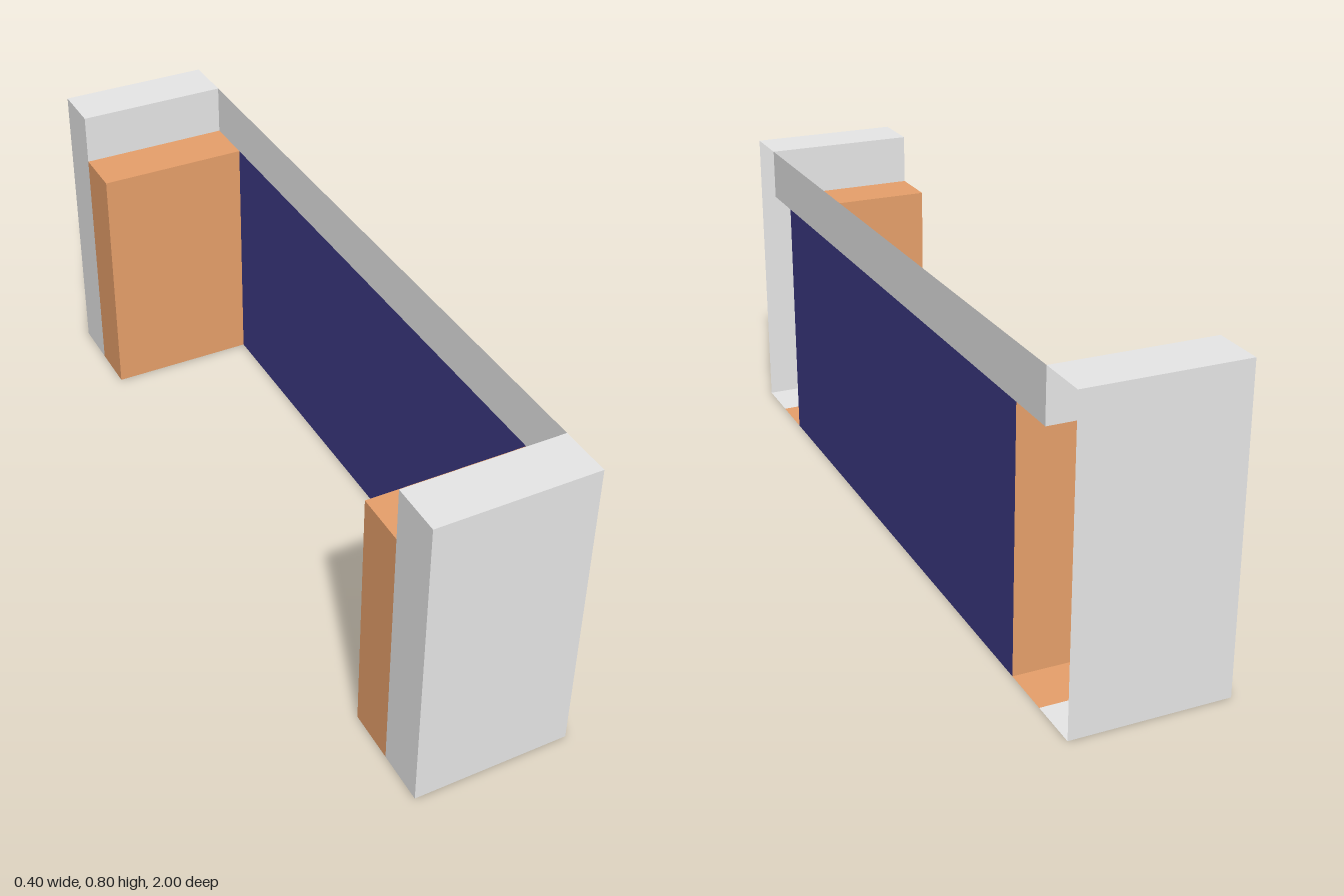
import * as THREE from 'three';

export function createModel() {
  const mat = (name, color) => {
    const m = new THREE.MeshStandardMaterial({ color, side: THREE.DoubleSide });
    m.name = name;
    return m;
  };
  const white = mat('white', 0xffffff);
  const orange = mat('orange', 0xffb176);
  const blue = mat('blue', 0x3c3a84);

  // Key dimensions: half width, heights, and half lengths of the steps
  const W = 0.2, TOP = 0.8, STEP = 0.667, OUT = 1, MID = 0.867, IN = 0.733;

  const model = new THREE.Group();
  model.name = 'openFrame';

  // Thin sheets facing along x, y or z
  const sheet = (parent, name, material, w, h, pos, rot) => {
    const mesh = new THREE.Mesh(new THREE.PlaneGeometry(w, h), material);
    mesh.name = name;
    mesh.position.set(...pos);
    mesh.rotation.set(...rot);
    parent.add(mesh);
  };
  const sheetX = (p, name, m, x, y0, y1, z0, z1, dir) =>
    sheet(p, name, m, Math.abs(z1 - z0), y1 - y0, [x, (y0 + y1) / 2, (z0 + z1) / 2], [0, dir * Math.PI / 2, 0]);
  const sheetY = (p, name, m, y, z0, z1, dir) =>
    sheet(p, name, m, 2 * W, Math.abs(z1 - z0), [0, y, (z0 + z1) / 2], [-dir * Math.PI / 2, 0, 0]);
  const sheetZ = (p, name, m, z, y0, y1, dir) =>
    sheet(p, name, m, 2 * W, y1 - y0, [0, (y0 + y1) / 2, z], [0, dir > 0 ? 0 : Math.PI, 0]);

  // Two mirrored stepped end posts, hollow and open towards +x
  for (const s of [1, -1]) {
    const post = new THREE.Group();
    post.name = s > 0 ? 'frontPost' : 'backPost';

    // Tall white outer part
    sheetZ(post, 'outerFace', white, s * OUT, 0, TOP, s);
    sheetZ(post, 'upperInnerFace', white, s * MID, STEP, TOP, -s);
    sheetY(post, 'outerTop', white, TOP, s * MID, s * OUT, 1);
    sheetY(post, 'outerBottom', white, 0, s * MID, s * OUT, -1);
    sheetX(post, 'outerSide', white, -W, 0, TOP, s * MID, s * OUT, -1);

    // Lower orange inner part
    sheetZ(post, 'innerFace', orange, s * IN, 0, STEP, -s);
    sheetY(post, 'innerTop', orange, STEP, s * IN, s * MID, 1);
    sheetY(post, 'innerBottom', orange, 0, s * IN, s * MID, -1);
    sheetX(post, 'innerSide', orange, -W, 0, STEP, s * IN, s * MID, -1);
    model.add(post);
  }

  // Panel and rail joining the posts
  sheetX(model, 'panel', blue, W, 0, STEP, -IN, IN, 1);
  sheetX(model, 'topRail', white, W, STEP, TOP, -MID, MID, 1);

  return model;
}
